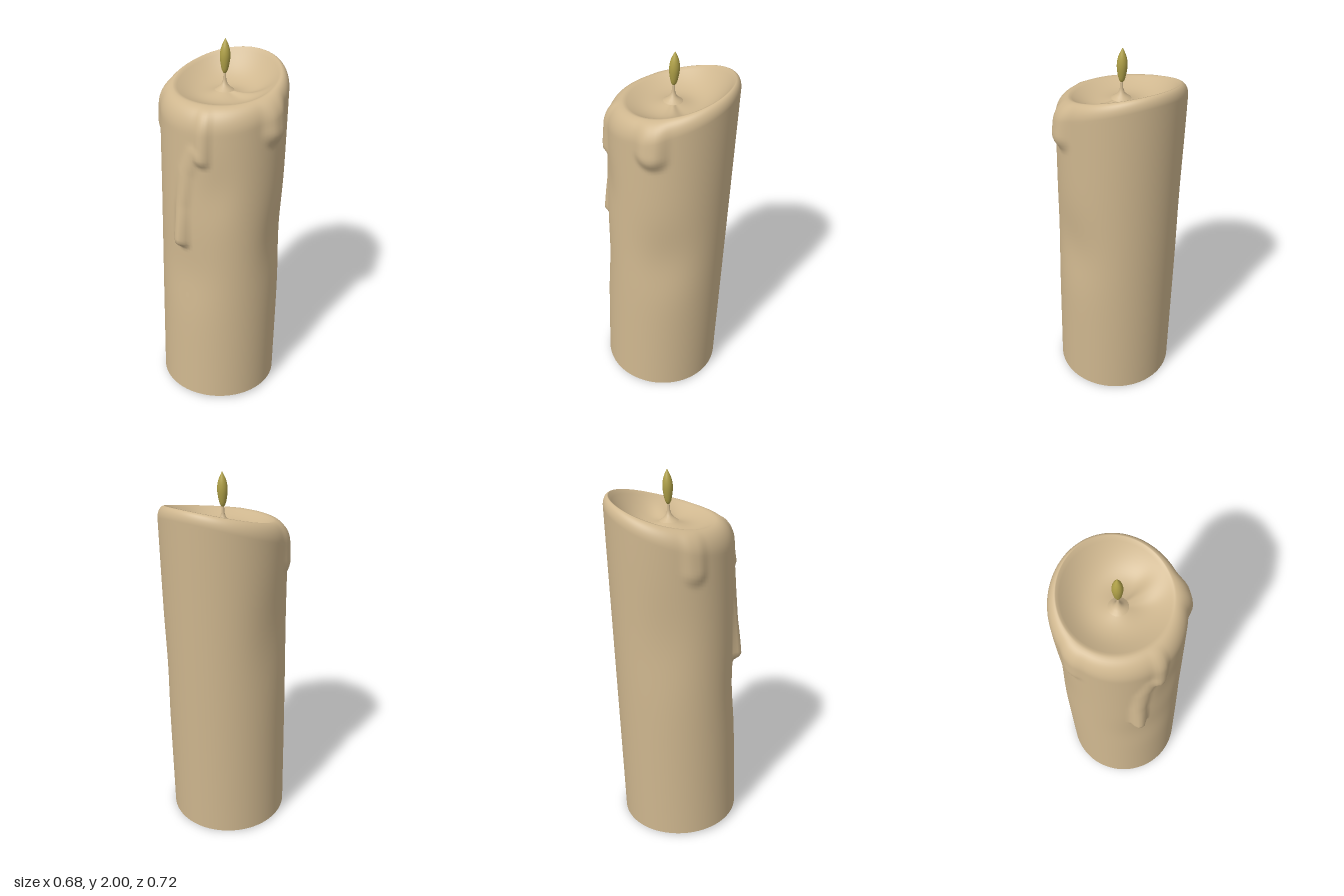
import * as THREE from 'three';

const R = 0.324, SEG = 128;
const wax = new THREE.MeshStandardMaterial({ color: 0xcfb78f });
wax.name = 'beige wax';
const olive = new THREE.MeshStandardMaterial({ color: 0xb0a148 });
olive.name = 'olive flame';

// Wax runs on the wall: path points are [arc from front, height, relief]
const drips = [
  { w: 0.055, path: [[0.03, 1.49, 0.008], [-0.015, 1.38, 0.012], [-0.035, 1.2, 0.022], [-0.035, 1.0, 0.045]] },
  { w: 0.05, path: [[0.085, 1.7, 0.012], [0.08, 1.47, 0.024]] },
  { w: 0.1, path: [[0.47, 1.78, 0.012], [0.47, 1.6, 0.036]] },
  { w: 0.08, path: [[-0.38, 1.72, 0.01], [-0.38, 1.55, 0.017]] },
];
// Broad shallow dents: arc, height, depth, arc width, height width
const dents = [
  [0.56, 0.95, 0.02, 0.16, 0.22], [0, 0.8, 0.012, 0.16, 0.2],
  [-0.54, 1.2, 0.014, 0.16, 0.28], [0.15, 1.3, 0.01, 0.1, 0.16],
];

const { smoothstep, lerp, clamp } = THREE.MathUtils;

function relief(arc, y) {
  let sum = 0;
  for (const { w, path } of drips) {
    let best = 0;
    for (let i = 0; i + 1 < path.length; i++) {
      const [ax, ay, ah] = path[i], [bx, by, bh] = path[i + 1];
      const dx = bx - ax, dy = by - ay;
      const t = clamp(((arc - ax) * dx + (y - ay) * dy) / (dx * dx + dy * dy), 0, 1);
      const d = Math.hypot(arc - ax - dx * t, y - ay - dy * t);
      best = Math.max(best, lerp(ah, bh, t) * (1 - smoothstep(d, 0.2 * w, w)));
    }
    sum += best;
  }
  for (const [a, h, depth, wa, wh] of dents) {
    sum -= depth * Math.exp(-(((arc - a) / wa) ** 2) - ((y - h) / wh) ** 2);
  }
  return sum;
}

// Wall, rounded rim and melted bowl as one smooth skin of rings
function bodyGeometry() {
  const WALL = 90, RIM = 12, BOWL = 20, rows = WALL + RIM + BOWL;
  const pos = [], idx = [];
  for (let j = 0; j <= rows; j++) {
    for (let i = 0; i < SEG; i++) {
      let th = (i / SEG) * Math.PI * 2;
      if (th > Math.PI) th -= Math.PI * 2;
      const c = Math.cos(th), front = (c + 1) / 2;
      const crestY = 1.775 - 0.073 * c + 0.025 * c * c;
      const crestR = lerp(0.295, 0.238, front);
      const drop = lerp(0.05, 0.13, front);
      let r, y;
      if (j <= WALL) {
        y = (crestY - drop) * j / WALL;
        r = R + relief(th * R, y);
      } else if (j <= WALL + RIM) {
        const a = (j - WALL) / RIM * Math.PI / 2;
        y = crestY - drop + drop * Math.sin(a);
        r = crestR + (R - crestR) * Math.cos(a) + relief(th * R, y) * Math.cos(a);
      } else {
        const s = 1 - (j - WALL - RIM) / BOWL;
        r = crestR * s;
        y = 1.735 + (crestY - 1.735) * s ** 3 - 0.032 * Math.sin(Math.PI * s);
        // soft ridge running from the wick to the right rim
        y += 0.018 * Math.sin(Math.PI * s) * Math.exp(-(((th - 1.75) / 0.3) ** 2));
      }
      pos.push(r * Math.sin(th), y, r * c);
      if (j < rows) {
        const a = j * SEG + i, b = j * SEG + (i + 1) % SEG;
        idx.push(a, b, a + SEG, b, b + SEG, a + SEG);
      }
    }
  }
  const g = new THREE.BufferGeometry();
  g.setAttribute('position', new THREE.Float32BufferAttribute(pos, 3));
  g.setIndex(idx);
  g.computeVertexNormals();
  return g;
}

const lathe = (pts, seg) =>
  new THREE.LatheGeometry(pts.map(([x, y]) => new THREE.Vector2(x, y)), seg);

export function createModel() {
  const model = new THREE.Group();
  model.name = 'candle';
  const add = (name, geometry, material) => {
    const mesh = new THREE.Mesh(geometry, material);
    mesh.name = name;
    model.add(mesh);
    return mesh;
  };

  add('waxBody', bodyGeometry(), wax);
  add('base', new THREE.CircleGeometry(R, SEG), wax).rotation.x = Math.PI / 2;

  // Wick flaring out into the pool
  add('wick', lathe([[0.05, 1.728], [0.03, 1.742], [0.016, 1.757], [0.008, 1.78], [0.006, 1.83]], 20), wax);

  // Slender pointed flame
  const flame = new THREE.SplineCurve([[0.002, 1.808], [0.014, 1.825], [0.023, 1.865], [0.026, 1.905],
    [0.019, 1.945], [0.001, 1.985]].map(([x, y]) => new THREE.Vector2(x, y)));
  add('flame', new THREE.LatheGeometry(flame.getPoints(18), 24), olive);

  // The whole candle leans slightly backward
  model.rotation.x = -0.036;
  model.position.set(-0.015, 0.013, 0.032);
  const root = new THREE.Group();
  root.name = 'leaningCandle';
  root.add(model);
  return root;
}
